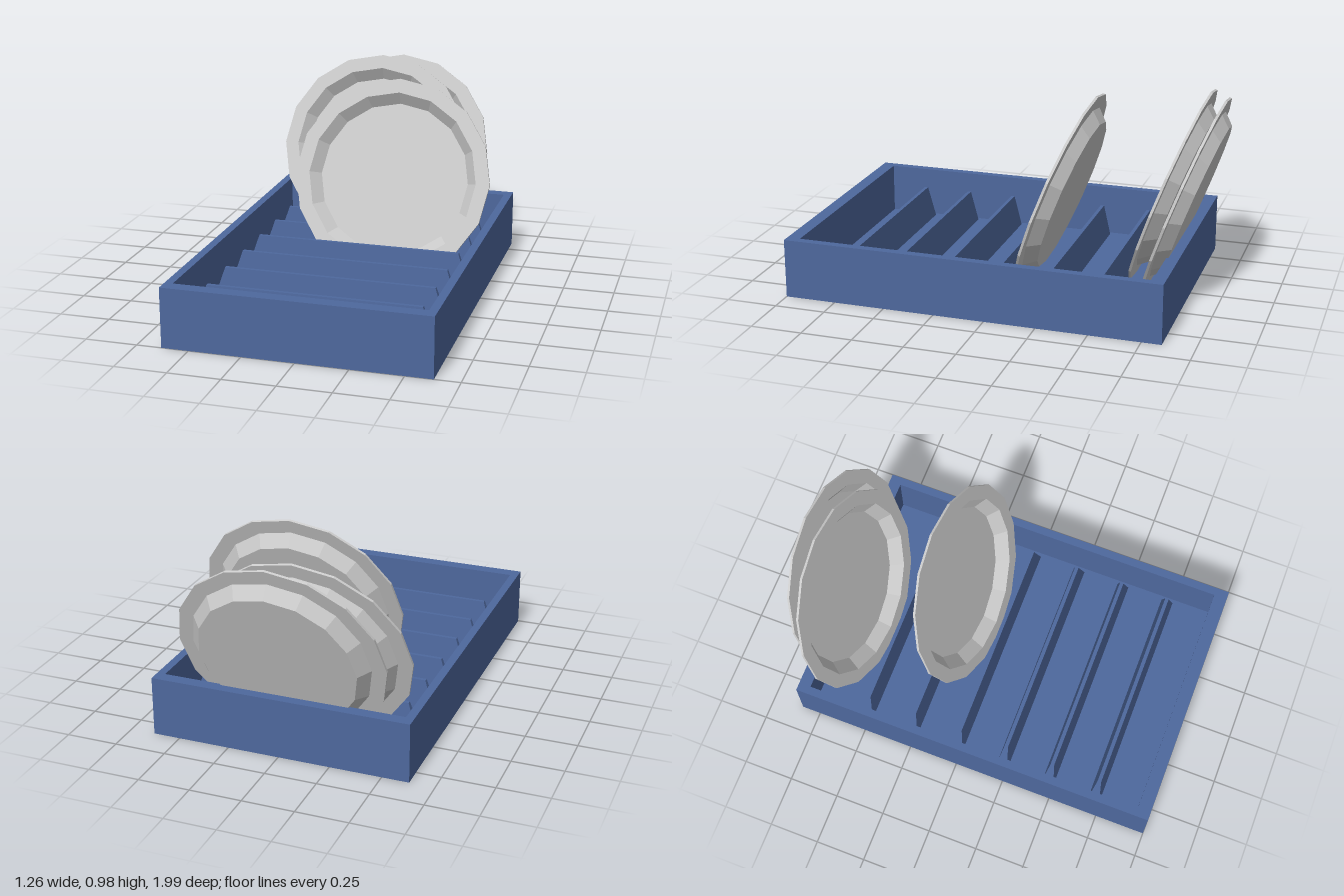
import * as THREE from 'three';

const blue = new THREE.MeshStandardMaterial({ color: 0x4e689d, flatShading: true });
const grey = new THREE.MeshStandardMaterial({ color: 0xcccccc, flatShading: true });

const WIDTH = 1.26, BACK = -0.845, FRONT = 1, HEIGHT = 0.29, FLOOR = 0.04;
const INNER_X = 0.59, INNER_BACK = -0.785, INNER_FRONT = 0.935;

function add(parent, name, geometry, material) {
  const mesh = new THREE.Mesh(geometry, material);
  mesh.name = name;
  parent.add(mesh);
  return mesh;
}

// Rectangle in the ground plane (shape y is -z)
function rectangle(Type, halfX, back, front) {
  return new Type([
    new THREE.Vector2(-halfX, -front), new THREE.Vector2(halfX, -front),
    new THREE.Vector2(halfX, -back), new THREE.Vector2(-halfX, -back),
  ]);
}

function createTray() {
  const tray = new THREE.Group();
  tray.name = 'tray';

  // Four walls as one frame
  const frame = rectangle(THREE.Shape, WIDTH / 2, BACK, FRONT);
  frame.holes.push(rectangle(THREE.Path, INNER_X, INNER_BACK, INNER_FRONT));
  const walls = new THREE.ExtrudeGeometry(frame, { depth: HEIGHT, bevelEnabled: false });
  add(tray, 'trayWalls', walls.rotateX(-Math.PI / 2), blue);

  // Floor inside the frame
  const floor = new THREE.BoxGeometry(INNER_X * 2, FLOOR, INNER_FRONT - INNER_BACK);
  floor.translate(0, FLOOR / 2, (INNER_FRONT + INNER_BACK) / 2);
  add(tray, 'trayFloor', floor, blue);

  // Ridges that taper towards the top
  const ridgeHeight = 0.215 - FLOOR;
  const ridge = new THREE.BoxGeometry(1.14, ridgeHeight, 0.06);
  const pos = ridge.attributes.position;
  for (let i = 0; i < pos.count; i++) {
    if (pos.getY(i) > 0) {
      pos.setX(i, pos.getX(i) * 0.9);
      pos.setZ(i, pos.getZ(i) * 0.3);
    }
  }
  ridge.computeVertexNormals();
  for (let i = 0; i < 6; i++) {
    add(tray, 'divider', ridge, blue).position.set(0, FLOOR + ridgeHeight / 2, 0.715 - i * 0.245);
  }
  return tray;
}

// Sixteen-sided plate: flat rim, sloping wall, sunken centre
function plateGeometry() {
  const profile = [
    [0, -0.067], [0.38, -0.067], [0.43, -0.012], [0.5, -0.012],
    [0.5, 0], [0.43, 0], [0.38, -0.055], [0, -0.055],
  ].map(([r, y]) => new THREE.Vector2(r, y));
  return new THREE.LatheGeometry(profile, 16);
}

export function createModel() {
  const model = new THREE.Group();
  model.name = 'plateRack';
  model.add(createTray());

  // Plates lean back by 20 degrees
  const geometry = plateGeometry();
  const lean = THREE.MathUtils.degToRad(70);
  for (const [x, y, z] of [[0.12, 0.51, -0.217], [-0.1, 0.515, -0.715], [-0.01, 0.505, -0.802]]) {
    const plate = add(model, 'plate', geometry, grey);
    plate.position.set(x, y, z);
    plate.rotation.x = lean;
  }
  return model;
}
